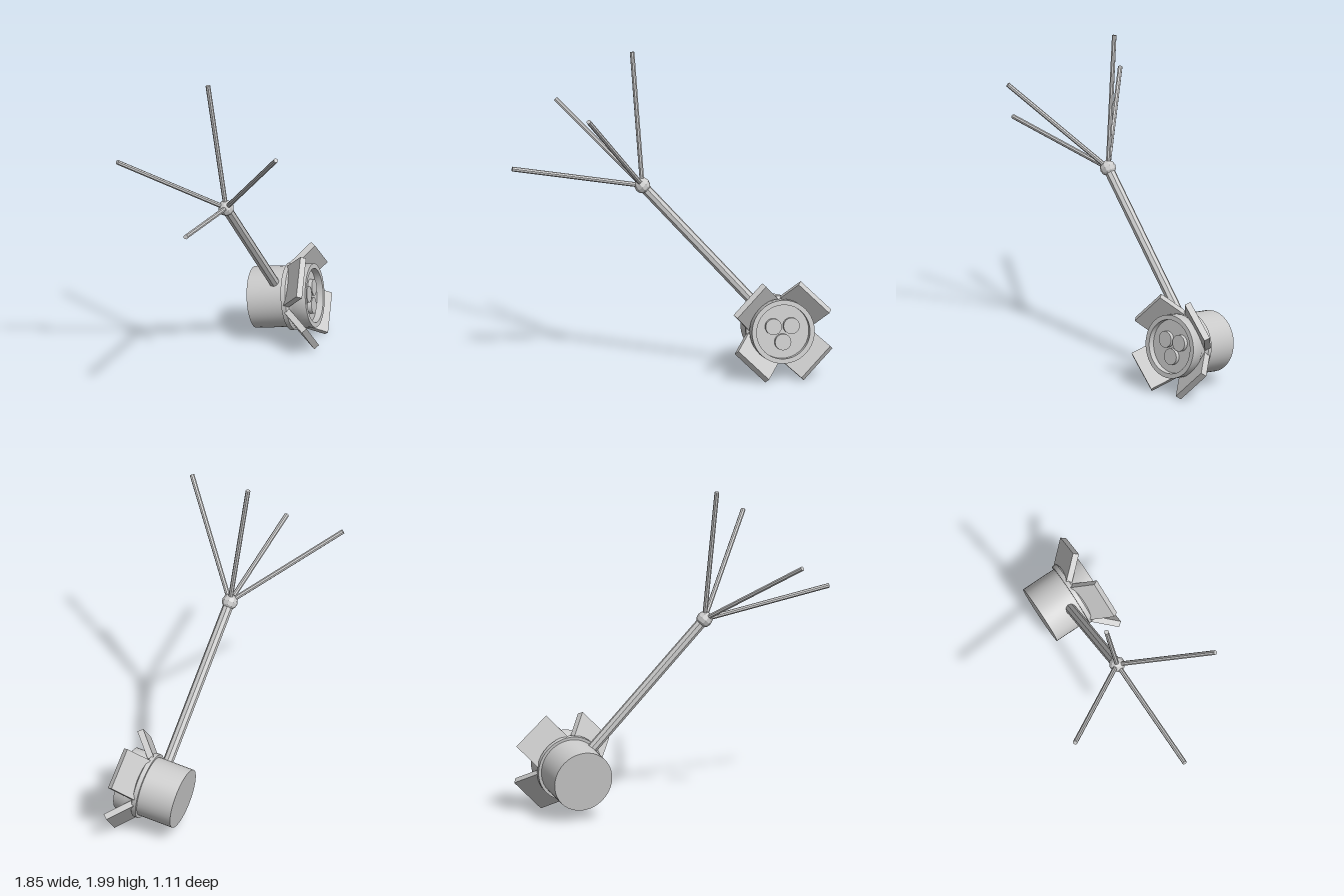
import * as THREE from 'three';
import { toCreasedNormals } from 'three/addons/utils/BufferGeometryUtils.js';

const smooth = new THREE.MeshStandardMaterial({ color: 0xcccccc });
const faceted = new THREE.MeshStandardMaterial({ color: 0xcccccc, flatShading: true });
const V = (x, y, z) => new THREE.Vector3(x, y, z);

function add(parent, name, geometry, material = smooth) {
  const mesh = new THREE.Mesh(geometry, material);
  mesh.name = name;
  parent.add(mesh);
  return mesh;
}

// Straight faceted rod between two points
function rod(parent, name, from, to, radius) {
  const dir = to.clone().sub(from);
  const mesh = add(parent, name, new THREE.CylinderGeometry(radius, radius, dir.length(), 8), faceted);
  mesh.position.copy(from).add(to).multiplyScalar(0.5);
  mesh.quaternion.setFromUnitVectors(V(0, 1, 0), dir.normalize());
  return mesh;
}

function createLamp() {
  const lamp = new THREE.Group();
  lamp.name = 'lampHead';

  // Barrel, flange, neck and recessed front rim in one turned profile
  const profile = [
    [0, 0], [0.187, 0], [0.187, 0.222], [0.205, 0.222], [0.205, 0.25], [0.185, 0.262],
    [0.185, 0.285], [0.194, 0.3], [0.194, 0.375], [0.165, 0.375], [0.165, 0.335], [0, 0.335],
  ].map(([r, y]) => new THREE.Vector2(r, y));
  add(lamp, 'housing', toCreasedNormals(new THREE.LatheGeometry(profile, 40), 0.6));

  // Three bulbs in the recess
  for (let i = 0; i < 3; i++) {
    const a = Math.PI / 6 + (i * Math.PI * 2) / 3;
    const bulb = add(lamp, 'bulb', new THREE.CylinderGeometry(0.05, 0.05, 0.03, 24));
    bulb.position.set(0.064 * Math.cos(a), 0.345, -0.064 * Math.sin(a));
  }

  // Four flared shutter plates around the rim
  const base = { r: 0.15, y: 0.25 }, tip = { r: 0.285, y: 0.375 };
  const length = Math.hypot(tip.r - base.r, tip.y - base.y);
  for (let i = 0; i < 4; i++) {
    const pivot = new THREE.Group();
    pivot.name = 'shutter';
    pivot.rotation.y = Math.PI / 4 + (i * Math.PI) / 2;
    const plate = add(pivot, 'shutterPlate', new THREE.BoxGeometry(length, 0.038, 0.26));
    plate.position.set((base.r + tip.r) / 2, (base.y + tip.y) / 2, 0);
    plate.rotation.z = Math.atan2(tip.y - base.y, tip.r - base.r);
    lamp.add(pivot);
  }

  // Aim the lamp's own axis
  const aim = V(0.474, 0.143, 0.869).normalize();
  const side = V(0, 1, 0).cross(aim).normalize();
  const down = side.clone().cross(aim);
  lamp.quaternion.setFromRotationMatrix(new THREE.Matrix4().makeBasis(side, aim, down));
  lamp.position.set(0.481, 0.253, -0.469);
  return lamp;
}

export function createModel() {
  const model = new THREE.Group();
  model.name = 'tippedStageLight';
  model.add(createLamp());

  // Stand: pole, hub and four splayed legs
  const hub = V(-0.205, 1.185, -0.05);
  const stand = new THREE.Group();
  stand.name = 'stand';
  model.add(stand);
  rod(stand, 'pole', hub, V(0.465, 0.4, -0.29), 0.032);
  const knob = add(stand, 'legHub', new THREE.SphereGeometry(0.049, 10, 6), faceted);
  knob.position.copy(hub);
  knob.quaternion.setFromUnitVectors(V(0, 1, 0), V(-0.65, 0.78, 0.23).normalize());
  const feet = [V(-0.84, 1.595, -0.35), V(-0.92, 1.328, 0.31), V(-0.37, 1.73, 0.535), V(-0.29, 1.998, -0.12)];
  for (const foot of feet) rod(stand, 'leg', hub, foot, 0.0145);

  return model;
}
